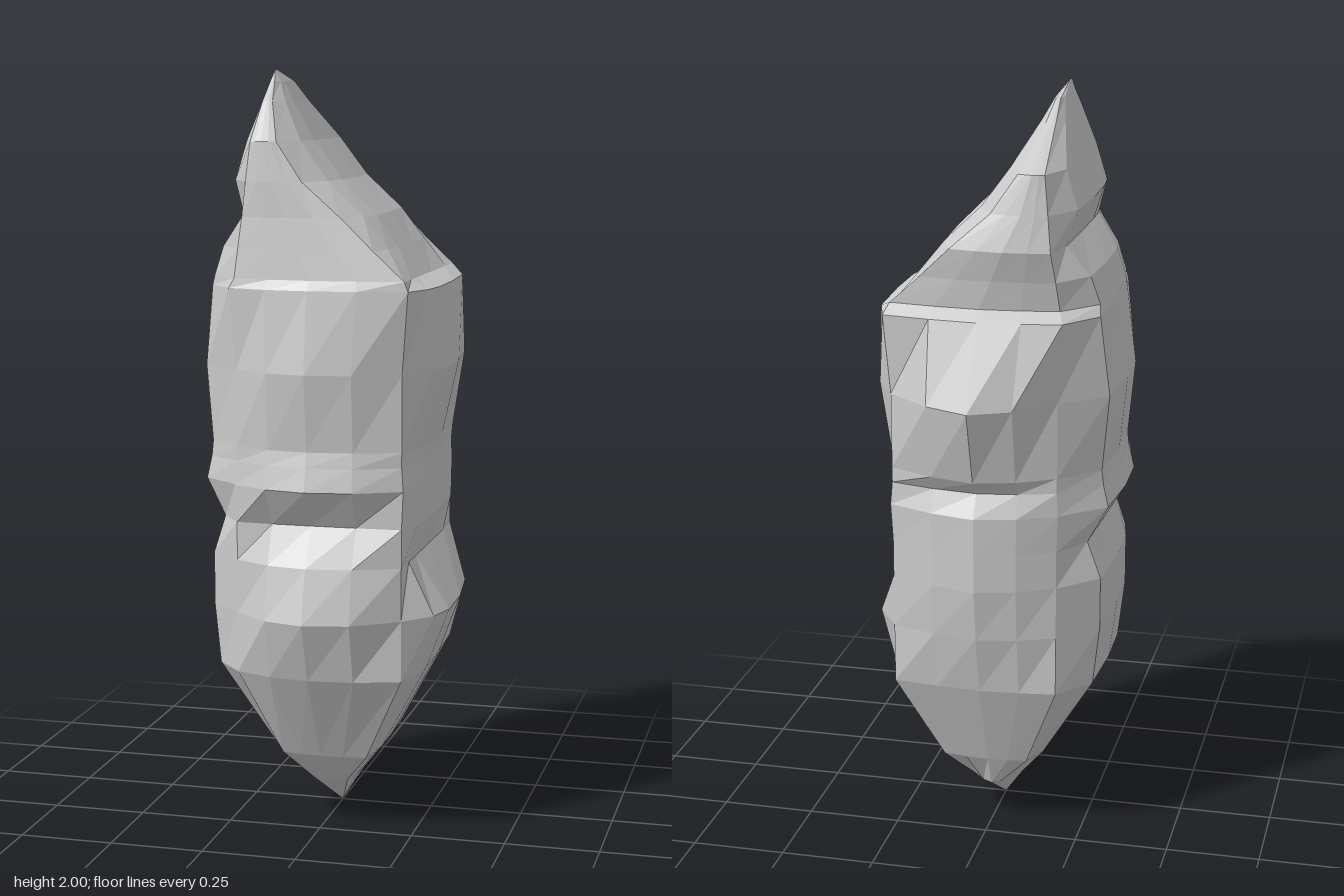
import * as THREE from 'three';

// Points along the front, right, back and left sides: [fraction along side, share of bulge]
const SIDES = [
  [[0, 0], [0.22, 0.75], [0.46, 1], [0.73, 0.75]],
  [[0, 0], [0.13, 0.75], [0.27, 1], [0.53, 0.97], [0.84, 0.7]],
  [[0, 0], [0.27, 0.65], [0.54, 1], [0.78, 0.65]],
  [[0, 0], [0.16, 0.9], [0.47, 1], [0.73, 0.95], [0.87, 0.8]],
];

// Closed loop: a box of corners whose sides bulge out to the given reach
function section(y, box, reach) {
  const [l, r, b, f] = box;
  const [ml, mr, mb, mf] = reach;
  const corners = [[l, f], [r, f], [r, b], [l, b]];
  const bulges = [[0, mf - f], [mr - r, 0], [0, mb - b], [ml - l, 0]];
  return corners.flatMap((p, side) => {
    const q = corners[(side + 1) % 4];
    return SIDES[side].map(([t, k]) => new THREE.Vector3(
      THREE.MathUtils.lerp(p[0], q[0], t) + bulges[side][0] * k,
      y,
      THREE.MathUtils.lerp(p[1], q[1], t) + bulges[side][1] * k,
    ));
  });
}

// Faceted skin through a stack of sections
function loft(sections) {
  const n = sections[0].length;
  const index = [];
  for (let j = 0; j < sections.length - 1; j++) {
    for (let i = 0; i < n; i++) {
      const a = j * n + i, b = j * n + ((i + 1) % n);
      index.push(a, b, b + n, a, b + n, a + n);
    }
  }
  const geometry = new THREE.BufferGeometry().setFromPoints(sections.flat());
  geometry.setIndex(index);
  const flat = geometry.toNonIndexed();
  flat.computeVertexNormals();
  return flat;
}

// Body: one corner box, narrowing to a front-to-back keel at the base
function bodySections() {
  const box = [-0.2, 0.238, -0.29, 0.33];
  // height, box scale, reach to the left, right, back and front of the section
  return [
    [0.00, 0, 0, 0, 0, 0],
    [0.11, 0.22, -0.07, 0.07, -0.18, 0.16],
    [0.20, 0.52, -0.14, 0.14, -0.22, 0.25],
    [0.44, 1, -0.29, 0.27, -0.31, 0.38],
    [0.60, 1, -0.31, 0.33, -0.35, 0.44],
    [0.74, 1, -0.31, 0.24, -0.37, 0.40],
    [0.84, 1, -0.27, 0.27, -0.37, 0.335],
    [0.94, 1.02, -0.33, 0.27, -0.37, 0.41],
    [1.00, 1, -0.315, 0.27, -0.335, 0.395],
    [1.04, 1, -0.31, 0.275, -0.375, 0.385],
    [1.24, 1, -0.33, 0.32, -0.44, 0.41],
    [1.45, 1.07, -0.30, 0.30, -0.33, 0.38],
  ].map(([y, scale, ...reach]) => {
    const depth = Math.sqrt(scale);
    const [l, r, b, f] = box;
    return section(y, [l * scale, r * scale, b * depth, f * depth], reach);
  });
}

// Crown: the right side bulges along a slope up to a ridge that runs front to back
function crownSections() {
  // height, reach to the left, right, back and front
  return [
    [1.475, -0.295, 0.245, -0.29, 0.365],
    [1.55, -0.27, 0.19, -0.30, 0.355],
    [1.63, -0.205, 0.13, -0.32, 0.345],
    [1.72, -0.235, 0.04, -0.30, 0.34],
    [1.82, -0.20, -0.035, -0.28, 0.33],
    [1.92, -0.165, -0.093, -0.09, 0.25],
    [1.97, -0.15, -0.12, 0, 0.195],
    [2.00, -0.14, -0.14, 0.14, 0.16],
  ].map(([y, left, right, back, front]) => {
    const t = (y - 1.475) / 0.525;
    const inset = 0.025 * (1 - t);
    const slump = 0.065 * Math.sin(Math.PI * t);
    const boxLeft = Math.max(left, -0.2 + 0.06 * t);
    const boxRight = Math.max(boxLeft, right - slump);
    return section(y, [boxLeft, boxRight, back + inset, front - inset], [left, right, back, front]);
  });
}

export function createModel() {
  const group = new THREE.Group();
  group.name = 'rock';
  const material = new THREE.MeshStandardMaterial({ color: 0xcccccc, flatShading: true });
  const bodyRings = bodySections();
  const shoulder = bodyRings[bodyRings.length - 1];

  // Grooved body standing on its pointed base
  const body = new THREE.Mesh(loft(bodyRings), material);
  body.name = 'rockBody';

  // Slanted crown rising from the shoulder
  const crown = new THREE.Mesh(loft([shoulder, ...crownSections()]), material);
  crown.name = 'slantedCrown';

  group.add(body, crown);
  return group;
}
